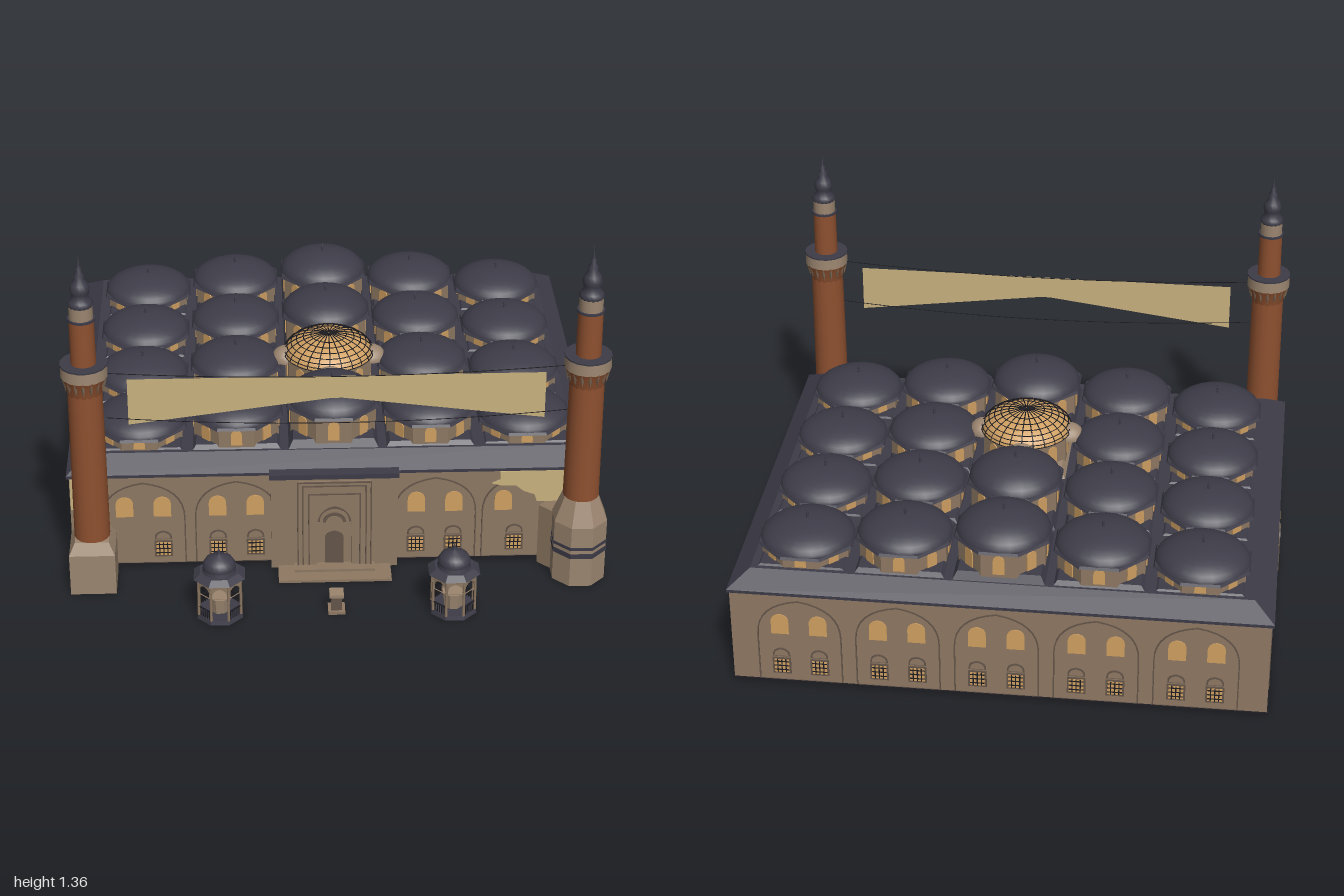
import * as THREE from 'three';

const mat = (name, color, side = THREE.FrontSide) => {
  const m = new THREE.MeshStandardMaterial({ color, side });
  m.name = name;
  return m;
};

export function createModel() {
  const stone = mat('stone', 0x8f7963), lightStone = mat('light stone', 0x9c8670);
  const lead = mat('lead roof', 0x3d3c48), brick = mat('brick', 0x8f5130);
  const gold = mat('warm glass', 0xd0a062), cream = mat('cream cloth and plaster', 0xc9b27f, THREE.DoubleSide);
  const dark = mat('dark metal', 0x1e1d22), wood = mat('door wood', 0xa3522c);
  const shade = mat('recess stone', 0x65564a);

  const model = new THREE.Group();
  model.name = 'mosque';
  const group = (name, parent = model, x = 0, y = 0, z = 0, ry = 0) => {
    const g = new THREE.Group();
    g.name = name;
    g.position.set(x, y, z);
    g.rotation.y = ry;
    parent.add(g);
    return g;
  };
  const add = (parent, name, geo, m, x = 0, y = 0, z = 0, ry = 0) => {
    const mesh = new THREE.Mesh(geo, m);
    mesh.name = name;
    mesh.position.set(x, y, z);
    mesh.rotation.y = ry;
    parent.add(mesh);
    return mesh;
  };
  // box given by its centre in x and z and its bottom in y
  const box = (p, name, m, w, h, d, x, y, z, ry) => add(p, name, new THREE.BoxGeometry(w, h, d), m, x, y + h / 2, z, ry);
  // prism or frustum standing on y
  const prism = (p, name, m, r0, r1, h, n, y, flat = true) => {
    const g = new THREE.CylinderGeometry(r1, r0, h, n);
    g.rotateY(Math.PI / n);
    const geo = flat && n <= 8 ? g.toNonIndexed() : g;
    if (geo !== g) geo.computeVertexNormals();
    return add(p, name, geo, m, 0, y + h / 2, 0);
  };
  const lathe = (p, name, m, pts, n = 24, y = 0) =>
    add(p, name, new THREE.LatheGeometry(pts.map(q => new THREE.Vector2(...q)), n), m, 0, y, 0);
  // rectangular frustum: x0,x1,z0,z1 at the bottom, inset on every side at the top
  const hip = (p, name, m, x0, x1, z0, z1, y0, y1, inset) => {
    const g = new THREE.BoxGeometry(x1 - x0, y1 - y0, z1 - z0).toNonIndexed(), a = g.attributes.position;
    for (let i = 0; i < a.count; i++) if (a.getY(i) > 0) {
      a.setX(i, a.getX(i) - Math.sign(a.getX(i)) * inset);
      a.setZ(i, a.getZ(i) - Math.sign(a.getZ(i)) * inset);
    }
    g.computeVertexNormals();
    return add(p, name, g, m, (x0 + x1) / 2, (y0 + y1) / 2, (z0 + z1) / 2);
  };
  const archPath = (w, h, Type = THREE.Shape, rise = 0.5) => {
    const s = new Type(), k = h - w * rise;
    s.moveTo(-w / 2, 0);
    s.lineTo(w / 2, 0);
    s.lineTo(w / 2, k);
    s.quadraticCurveTo(w / 2, h - w * rise * 0.15, 0, h);
    s.quadraticCurveTo(-w / 2, h - w * rise * 0.15, -w / 2, k);
    return s;
  };
  const extrude = (s, depth) => new THREE.ExtrudeGeometry(s, { depth, bevelEnabled: false, curveSegments: 8 });
  const arch = (p, name, m, w, h, x, y, z, t = 0.004, ry = 0) => add(p, name, extrude(archPath(w, h), t), m, x, y, z, ry);
  const archFrame = (p, name, m, w, h, b, x, y, z, t) => {
    const s = archPath(w, h);
    s.holes.push(archPath(w - 2 * b, h - b, THREE.Path));
    return add(p, name, extrude(s, t), m, x, y, z);
  };

  // hall body
  const X0 = -0.985, X1 = 0.965, Z0 = -0.99, Z1 = 0.57;
  const hall = group('hall');
  box(hall, 'walls', stone, X1 - X0, 0.386, Z1 - Z0, -0.01, 0.004, -0.21);
  box(hall, 'groundPlate', dark, X1 - X0 + 0.01, 0.008, Z1 - Z0 + 0.01, -0.01, 0, -0.21);
  box(hall, 'eave', lead, 1.968, 0.012, 1.577, -0.011, 0.384, -0.2115);
  hip(hall, 'roofSkirt', lead, -0.995, 0.973, -1, 0.577, 0.396, 0.448, 0.075);

  // one wall bay: blind arch, two arched windows and two barred windows
  const bay = (wall, c, offsets = [-0.07, 0.07], lower = offsets) => {
    archFrame(wall, 'blindArch', shade, 0.31, 0.35, 0.005, c, 0.01, 0, 0.004);
    for (const o of offsets) arch(wall, 'archedWindow', gold, 0.065, 0.085, c + o, 0.213, 0);
    for (const o of lower) {
      const w = group('barredWindow', wall, c + o, 0, 0);
      box(w, 'frame', shade, 0.068, 0.07, 0.003, 0, 0.036, 0.001);
      box(w, 'pane', gold, 0.054, 0.056, 0.006, 0, 0.043, 0.001);
      for (let i = -1; i <= 1; i++) box(w, 'bar', dark, 0.004, 0.056, 0.009, i * 0.015, 0.043, 0.001);
      for (let i = 0; i < 3; i++) box(w, 'crossBar', dark, 0.054, 0.004, 0.009, 0, 0.052 + i * 0.018, 0.001);
      archFrame(w, 'lunette', shade, 0.064, 0.036, 0.006, 0, 0.113, 0, 0.004);
    }
  };
  const front = group('frontWall', hall, 0, 0, Z1);
  const back = group('backWall', hall, 0, 0, Z0, Math.PI);
  const left = group('leftWall', hall, X1, 0, 0, Math.PI / 2);
  const right = group('rightWall', hall, X0, 0, 0, -Math.PI / 2);
  bay(front, -0.715, [-0.07, 0.07], [0.07]);
  bay(front, -0.37);
  bay(front, 0.37);
  bay(front, 0.70, [-0.075], [-0.03]);
  for (let i = -2; i <= 2; i++) bay(back, 0.005 + i * 0.36);
  for (const [wall, s] of [[left, -1], [right, 1]]) {
    for (const z of [0.335, -0.39, -0.70]) bay(wall, s * z);
    bay(wall, s * -0.02, [-0.07, 0.07], []);
    box(wall, 'doorSurround', stone, 0.13, 0.21, 0.018, s * -0.02, 0, 0.005);
    archFrame(wall, 'doorArch', shade, 0.10, 0.185, 0.008, s * -0.02, 0, 0.014, 0.004);
    arch(wall, 'sideDoor', wood, 0.072, 0.12, s * -0.02, 0.004, 0.014);
  }

  // bare plaster patches on the front
  const patch = new THREE.Shape([[0.58, 0.33], [0.61, 0.345], [0.61, 0.38], [0.85, 0.384], [0.85, 0.25], [0.75, 0.25],
    [0.74, 0.28], [0.70, 0.295], [0.67, 0.32], [0.62, 0.32]].map(p => new THREE.Vector2(...p)));
  add(front, 'plasterPatch', extrude(patch, 0.006), cream);
  box(front, 'plasterStrip', cream, 0.10, 0.13, 0.006, -0.933, 0.25, 0.002);

  // entrance portal and steps
  const portal = group('portal', front, -0.007);
  box(portal, 'portalBlock', stone, 0.47, 0.386, 0.04, 0, 0, 0.02);
  box(portal, 'portalCornice', lead, 0.48, 0.02, 0.045, 0, 0.384, 0.02);
  const niche = new THREE.Shape([[-0.135, 0], [0.135, 0], [0.135, 0.378], [-0.135, 0.378]].map(p => new THREE.Vector2(...p)));
  niche.holes.push(archPath(0.13, 0.275, THREE.Path, 0.7));
  add(portal, 'portalFrame', extrude(niche, 0.014), stone, 0, 0, 0.04);
  for (const [w, h] of [[0.272, 0.38], [0.235, 0.365], [0.19, 0.33]])
    for (const s of [-1, 1]) {
      box(portal, 'mouldingSide', shade, 0.005, h, 0.005, s * w / 2, 0, 0.055);
      if (s > 0) box(portal, 'mouldingTop', shade, w, 0.005, 0.005, 0, h - 0.005, 0.055);
    }
  for (let i = 0; i < 4; i++)
    arch(portal, 'nicheVault', i % 2 ? stone : shade, 0.13 - i * 0.022, 0.07 - i * 0.014, 0, 0.2, 0.04 + i * 0.002, 0.002);
  arch(portal, 'entranceDoor', shade, 0.07, 0.15, 0, 0.01, 0.04);
  box(portal, 'lowerStep', stone, 0.42, 0.01, 0.105, 0, 0, 0.0925);
  box(portal, 'upperStep', stone, 0.30, 0.02, 0.05, 0, 0, 0.065);

  // grid of domes, tallest along the middle
  const heights = [[0.47, 0.572, 0.655], [0.456, 0.537, 0.607], [0.446, 0.495, 0.566]];
  for (let i = -2; i <= 2; i++) for (let j = -2; j <= 1; j++) {
    const [y0, y1, y2] = heights[Math.abs(i)], lit = i === 0 && j === 0;
    const g = group(lit ? 'openDome' : 'domeBay', model, -0.005 + i * 0.36, 0, -0.032 + j * 0.36);
    hip(g, 'bayRoof', lit ? lightStone : lead, -0.18, 0.18, -0.18, 0.18, 0.425, y0 + 0.008, 0.03);
    prism(g, 'drum', stone, 0.171, 0.171, y1 - y0 + 0.03, 8, y0 - 0.03);
    const ap = 0.171 * Math.cos(Math.PI / 8), h = (y1 - y0) * 0.75;
    for (let k = 0; k < 8; k++) {
      const a = k * Math.PI / 4;
      arch(g, 'drumWindow', gold, 0.042, h, Math.sin(a) * ap, y0 + 0.008, Math.cos(a) * ap, 0.004, a);
    }
    const pts = [];
    for (let k = 0; k <= 8; k++) {
      const a = k / 8 * Math.PI / 2;
      pts.push([0.172 * Math.cos(a) + 0.0001, (y2 - y1 - 0.004) * Math.sin(a) ** 1.15]);
    }
    if (!lit) {
      prism(g, 'domeEave', lead, 0.188, 0.182, 0.01, 8, y1 - 0.006);
      lathe(g, 'dome', lead, pts, 24, y1 + 0.004);
      lathe(g, 'finial', lead, [[0.006, 0], [0.003, 0.012], [0.006, 0.018], [0.002, 0.024], [0.0001, 0.04]], 6, y2 - 0.003);
      continue;
    }
    // glowing dome with open ribs and small half domes around it
    lathe(g, 'glowingDome', gold, pts, 24, y1);
    const rib = new THREE.CatmullRomCurve3(pts.map(p => new THREE.Vector3(p[0] + 0.003, p[1] + 0.003, 0)));
    const ribGeo = new THREE.TubeGeometry(rib, 12, 0.0022, 4);
    for (let k = 0; k < 24; k++) add(g, 'rib', ribGeo, dark, 0, y1, 0, k * Math.PI / 12);
    for (let k = 0; k < 7; k++) {
      const ring = new THREE.TorusGeometry(pts[k][0] + 0.003, 0.002, 4, 32);
      ring.rotateX(Math.PI / 2);
      add(g, 'ribRing', ring, dark, 0, y1 + pts[k][1] + 0.003, 0);
    }
    for (let k = 0; k < 4; k++) {
      const a = k * Math.PI / 2;
      const niche = add(g, 'halfDome', new THREE.SphereGeometry(1, 12, 6, 0, Math.PI * 2, 0, Math.PI / 2), lightStone,
        Math.sin(a) * 0.165, 0.545, Math.cos(a) * 0.165, a);
      niche.scale.set(0.058, 0.05, 0.058);
    }
  }

  // minarets: the right one on a square foot, the left one on a banded octagon
  const minaret = (name, x, footTop, neck) => {
    const g = group(name, model, x, 0, 0.677);
    if (footTop < 0.22) {
      box(g, 'foot', lightStone, 0.168, footTop, 0.168, 0, 0, 0);
      hip(g, 'footTaper', lightStone, -0.084, 0.084, -0.084, 0.084, footTop, neck, 0.022);
    } else {
      prism(g, 'foot', lightStone, 0.105, 0.105, footTop, 8, 0);
      prism(g, 'footTaper', lightStone, 0.105, 0.068, neck - footTop, 8, footTop);
      for (const [y, h] of [[0.12, 0.02], [0.155, 0.012]]) prism(g, 'band', lead, 0.107, 0.107, h, 8, y);
      box(g, 'buttress', stone, 0.07, 0.25, 0.12, -0.075, 0, -0.055, Math.PI / 4);
    }
    prism(g, 'shaft', brick, 0.066, 0.063, 0.86 - neck, 16, neck);
    lathe(g, 'balconyFlare', brick, [[0.063, 0.81], [0.072, 0.85], [0.084, 0.88]], 16);
    for (let k = 0; k < 16; k++) {
      const a = k * Math.PI / 8, cone = new THREE.ConeGeometry(0.013, 0.055, 4);
      cone.rotateX(Math.PI);
      add(g, 'corbel', cone, stone, Math.sin(a) * 0.071, 0.852, Math.cos(a) * 0.071, a);
    }
    prism(g, 'parapet', lightStone, 0.085, 0.083, 0.046, 16, 0.878);
    prism(g, 'parapetRail', lead, 0.086, 0.086, 0.006, 16, 0.922);
    prism(g, 'upperShaft', brick, 0.046, 0.045, 0.18, 16, 0.92);
    prism(g, 'ring', lead, 0.05, 0.05, 0.008, 16, 1.1);
    prism(g, 'collar', lightStone, 0.043, 0.043, 0.05, 16, 1.108);
    lathe(g, 'cap', lead, [[0.043, 1.155], [0.046, 1.165], [0.04, 1.175], [0.03, 1.19], [0.032, 1.205], [0.036, 1.22],
      [0.03, 1.24], [0.016, 1.26], [0.018, 1.275], [0.009, 1.29], [0.011, 1.30], [0.004, 1.31], [0.0001, 1.36]], 16);
  };
  minaret('rightMinaret', -0.9, 0.165, 0.21);
  minaret('leftMinaret', 0.897, 0.25, 0.345);

  // cloth hung between the minarets
  const cloth = new THREE.Shape([[-0.75, 0.67], [-0.02, 0.765], [0.02, 0.765], [0.75, 0.67], [0.75, 0.855], [-0.75, 0.855]]
    .map(p => new THREE.Vector2(...p)));
  add(model, 'banner', new THREE.ShapeGeometry(cloth), cream, 0, 0, 0.677);
  for (const [end, mid] of [[0.882, 0.852], [0.7, 0.662]]) {
    const c = new THREE.QuadraticBezierCurve3(new THREE.Vector3(-0.83, end, 0.677),
      new THREE.Vector3(0, 2 * mid - end, 0.677), new THREE.Vector3(0.83, end, 0.677));
    add(model, 'rope', new THREE.TubeGeometry(c, 16, 0.0016, 4), dark);
  }

  // two fountain kiosks
  for (const x of [-0.434, 0.416]) {
    const k = group('kiosk', model, x, 0, 0.897);
    prism(k, 'base', lead, 0.09, 0.086, 0.016, 8, 0);
    prism(k, 'basin', lightStone, 0.035, 0.042, 0.06, 8, 0.016);
    prism(k, 'eaveBand', stone, 0.084, 0.086, 0.014, 8, 0.155);
    prism(k, 'eave', lead, 0.1, 0.075, 0.018, 8, 0.168);
    prism(k, 'domeDrum', lead, 0.062, 0.058, 0.015, 16, 0.185);
    lathe(k, 'kioskDome', lead, [[0.058, 0.198], [0.06, 0.212], [0.05, 0.23], [0.03, 0.243], [0.01, 0.25],
      [0.004, 0.255], [0.006, 0.262], [0.0001, 0.28]], 20);
    const side = 2 * 0.076 * Math.tan(Math.PI / 8);
    const spandrel = new THREE.Shape([[-side / 2, 0], [side / 2, 0], [side / 2, 0.05], [-side / 2, 0.05]].map(p => new THREE.Vector2(...p)));
    spandrel.holes.push(archPath(side - 0.01, 0.042, THREE.Path, 0.6));
    for (let i = 0; i < 8; i++) {
      const f = group('kioskSide', k, 0, 0, 0, i * Math.PI / 4);
      add(f, 'post', new THREE.CylinderGeometry(0.0045, 0.0055, 0.145, 6), stone, side / 2, 0.0875, 0.076);
      add(f, 'arch', extrude(spandrel, 0.005), stone, 0, 0.108, 0.073);
      if (i === 0) continue;
      box(f, 'rail', dark, side, 0.004, 0.004, 0, 0.05, 0.076);
      for (let b = -2; b <= 2; b++) box(f, 'baluster', dark, 0.003, 0.035, 0.003, b * side / 6, 0.016, 0.076);
    }
  }

  // small pedestal in front of the entrance
  const ped = group('pedestal', model, -0.01, 0, 0.897);
  box(ped, 'plinth', stone, 0.062, 0.012, 0.062, 0, 0, 0);
  box(ped, 'post', shade, 0.04, 0.056, 0.04, 0, 0.012, 0);
  box(ped, 'top', lightStone, 0.052, 0.012, 0.052, 0, 0.068, 0);

  return model;
}
